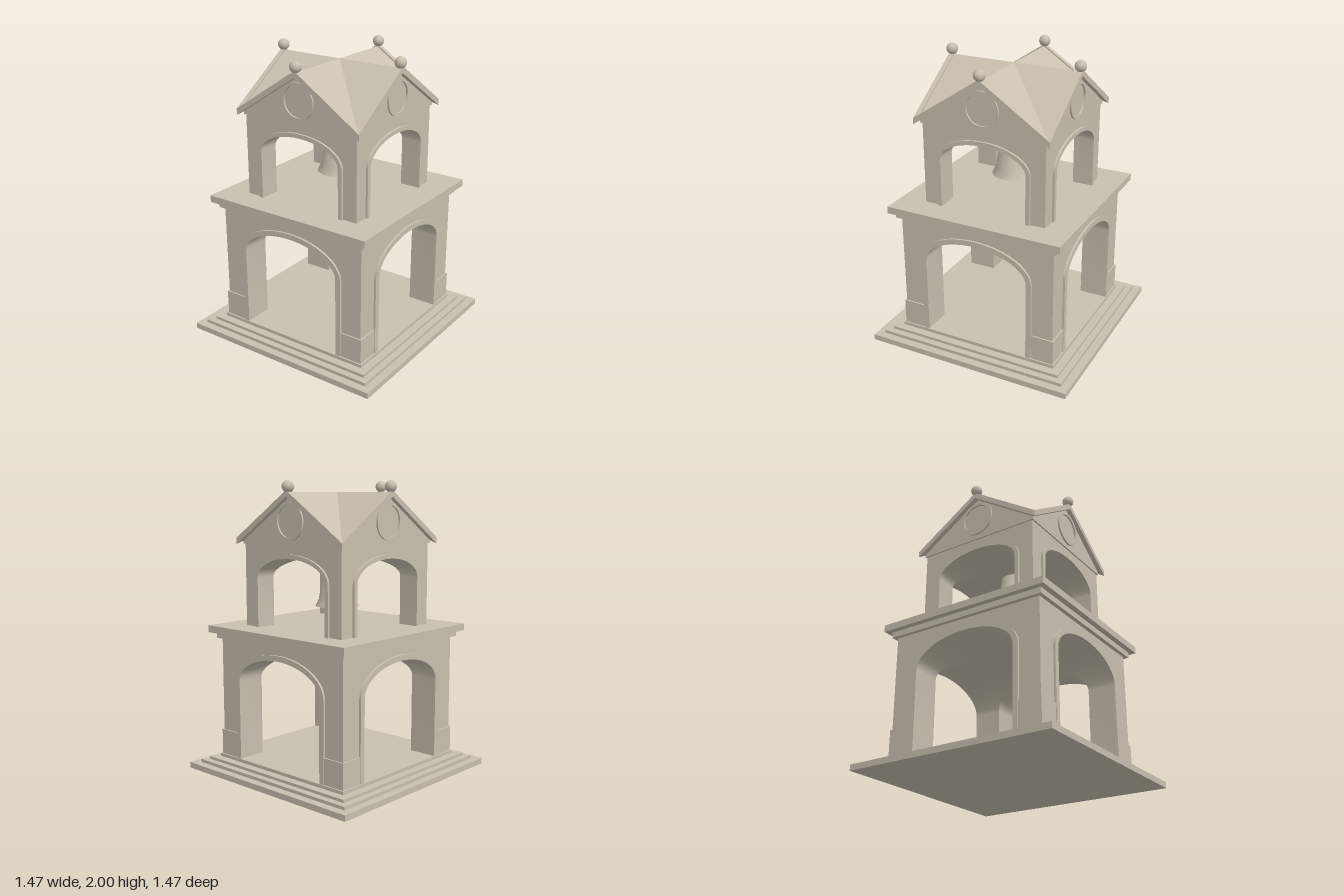
import * as THREE from 'three';
import { toCreasedNormals } from 'three/addons/utils/BufferGeometryUtils.js';

export function createModel() {
  const model = new THREE.Group();
  model.name = 'bellTower';
  const stone = new THREE.MeshStandardMaterial({ color: 0xc8bfae });
  stone.name = 'pale stone';

  const add = (parent, name, geometry, x = 0, y = 0, z = 0) => {
    const mesh = new THREE.Mesh(geometry, stone);
    mesh.name = name;
    mesh.position.set(x, y, z);
    parent.add(mesh);
    return mesh;
  };

  // Square slab from its half width and its bottom and top heights
  const slab = (name, half, y0, y1) =>
    add(model, name, new THREE.BoxGeometry(half * 2, y1 - y0, half * 2), 0, (y0 + y1) / 2, 0);

  // Triangles from a flat list of Vector3 corners
  const fromCorners = (corners) =>
    toCreasedNormals(new THREE.BufferGeometry().setFromPoints(corners), 0.5);

  // Runs a builder once for each of the four sides
  const fourSides = (name, build) => {
    for (let i = 0; i < 4; i++) {
      const side = new THREE.Group();
      side.name = name;
      side.rotation.y = (i * Math.PI) / 2;
      build(side);
      model.add(side);
    }
  };

  // Opening outline: straight jambs under a half ellipse, left to right
  const archPoints = (half, base, spring, top) => {
    const points = [new THREE.Vector2(-half, base)];
    const n = 32;
    for (let i = 0; i <= n; i++) {
      const a = Math.PI * (1 - i / n);
      points.push(new THREE.Vector2(half * Math.cos(a), spring + (top - spring) * Math.sin(a)));
    }
    points.push(new THREE.Vector2(half, base));
    return points;
  };

  // One open storey: four arched faces meeting in a groin vault
  const storey = (name, half, y0, y1, inner, outer) => {
    const opening = archPoints(inner.half, y0, inner.spring, inner.top);
    const rim = archPoints(outer.half, y0, inner.spring, outer.top);
    fourSides(name, (side) => {
      const wall = new THREE.Shape([
        ...opening,
        new THREE.Vector2(half, y0), new THREE.Vector2(half, y1),
        new THREE.Vector2(-half, y1), new THREE.Vector2(-half, y0),
      ]);
      add(side, 'archedWall', new THREE.ShapeGeometry(wall), 0, 0, half);

      // Soffit runs back until it meets the vault of the next side
      const corners = [];
      for (let i = 0; i + 1 < opening.length; i++) {
        const p = opening[i], q = opening[i + 1];
        const fp = new THREE.Vector3(p.x, p.y, half), fq = new THREE.Vector3(q.x, q.y, half);
        const bp = new THREE.Vector3(p.x, p.y, Math.abs(p.x));
        const bq = new THREE.Vector3(q.x, q.y, Math.abs(q.x));
        corners.push(fp, bp, fq, fq, bp, bq);
      }
      add(side, 'vault', fromCorners(corners));

      const trim = new THREE.Shape([...rim, ...opening.slice().reverse()]);
      add(side, 'archTrim',
        new THREE.ExtrudeGeometry(trim, { depth: 0.015, bevelEnabled: false }), 0, 0, half);
    });
  };

  // Stepped base
  slab('bottomStep', 0.735, 0, 0.04);
  slab('middleStep', 0.68, 0.04, 0.062);
  slab('upperStep', 0.635, 0.062, 0.082);
  slab('floor', 0.58, 0.082, 0.105);

  // Lower storey with pier plinths
  storey('lowerStorey', 0.56, 0.105, 0.935,
    { half: 0.373, spring: 0.655, top: 0.84 }, { half: 0.41, top: 0.877 });
  for (const x of [-1, 1]) for (const z of [-1, 1]) {
    add(model, 'pierPlinth', new THREE.BoxGeometry(0.16, 0.175, 0.16), x * 0.49, 0.1925, z * 0.49);
  }

  // Cornice between the storeys
  slab('corniceMoulding', 0.588, 0.93, 0.97);
  slab('corniceSlab', 0.627, 0.97, 1.018);

  // Upper storey
  storey('upperStorey', 0.44, 1.018, 1.585,
    { half: 0.308, spring: 1.355, top: 1.497 }, { half: 0.337, top: 1.526 });

  // Cross-gabled roof
  const R = 0.45, EDGE = 0.483, RIDGE = 1.925, SLOPE = 0.66, EAVE = RIDGE - R * SLOPE, BASE = 1.58;
  fourSides('gable', (side) => {
    const v = (x, y, z) => new THREE.Vector3(x, y, z);
    const centre = v(0, RIDGE, 0), ridge = v(0, RIDGE, R);
    add(side, 'roofSlopes', fromCorners([
      centre, ridge, v(R, EAVE, R),
      centre, v(-R, EAVE, R), ridge,
    ]));

    const front = new THREE.Shape([
      new THREE.Vector2(-R, BASE), new THREE.Vector2(R, BASE), new THREE.Vector2(R, EAVE),
      new THREE.Vector2(0, RIDGE), new THREE.Vector2(-R, EAVE),
    ]);
    add(side, 'pediment', new THREE.ShapeGeometry(front), 0, 0, R);
    add(side, 'pedimentUnderside', fromCorners([v(0, BASE, 0), v(R, BASE, R), v(-R, BASE, R)]));

    // Raking band, mitred at the roof corners
    const top = RIDGE + 0.012, thick = 0.042, end = top - EDGE * SLOPE;
    const band = new THREE.Shape([
      new THREE.Vector2(-EDGE, end - thick), new THREE.Vector2(0, top - thick),
      new THREE.Vector2(EDGE, end - thick), new THREE.Vector2(EDGE, end),
      new THREE.Vector2(0, top), new THREE.Vector2(-EDGE, end),
    ]);
    const bandGeo = new THREE.ExtrudeGeometry(band, { depth: EDGE - R, bevelEnabled: false });
    const pos = bandGeo.attributes.position;
    for (let i = 0; i < pos.count; i++) {
      const x = pos.getX(i);
      if (pos.getZ(i) < 0.001 && Math.abs(x) > R) {
        pos.setX(i, Math.sign(x) * R);
        pos.setY(i, pos.getY(i) + (EDGE - R) * SLOPE);
      }
    }
    bandGeo.computeVertexNormals();
    add(side, 'rakingBand', bandGeo, 0, 0, R);

    // Round moulding on the pediment
    const ring = new THREE.Shape().absarc(0, 0, 0.124, 0, Math.PI * 2);
    ring.holes.push(new THREE.Path().absarc(0, 0, 0.104, 0, Math.PI * 2, true));
    add(side, 'roundMoulding', new THREE.ExtrudeGeometry(ring,
      { depth: 0.012, bevelEnabled: false, curveSegments: 32 }), 0, 1.737, R);

    add(side, 'finial', new THREE.SphereGeometry(0.039, 24, 16), 0, 1.961, 0.466);
  });

  // Bell and its hanger
  const profile = [[0, 1.15], [0.15, 1.15], [0.127, 1.195], [0.082, 1.467], [0, 1.467]]
    .map(([r, y]) => new THREE.Vector2(r, y));
  add(model, 'bell', toCreasedNormals(new THREE.LatheGeometry(profile, 40), 0.4));
  add(model, 'bellHanger', new THREE.CylinderGeometry(0.038, 0.038, 0.06, 24), 0, 1.49, 0);

  return model;
}
